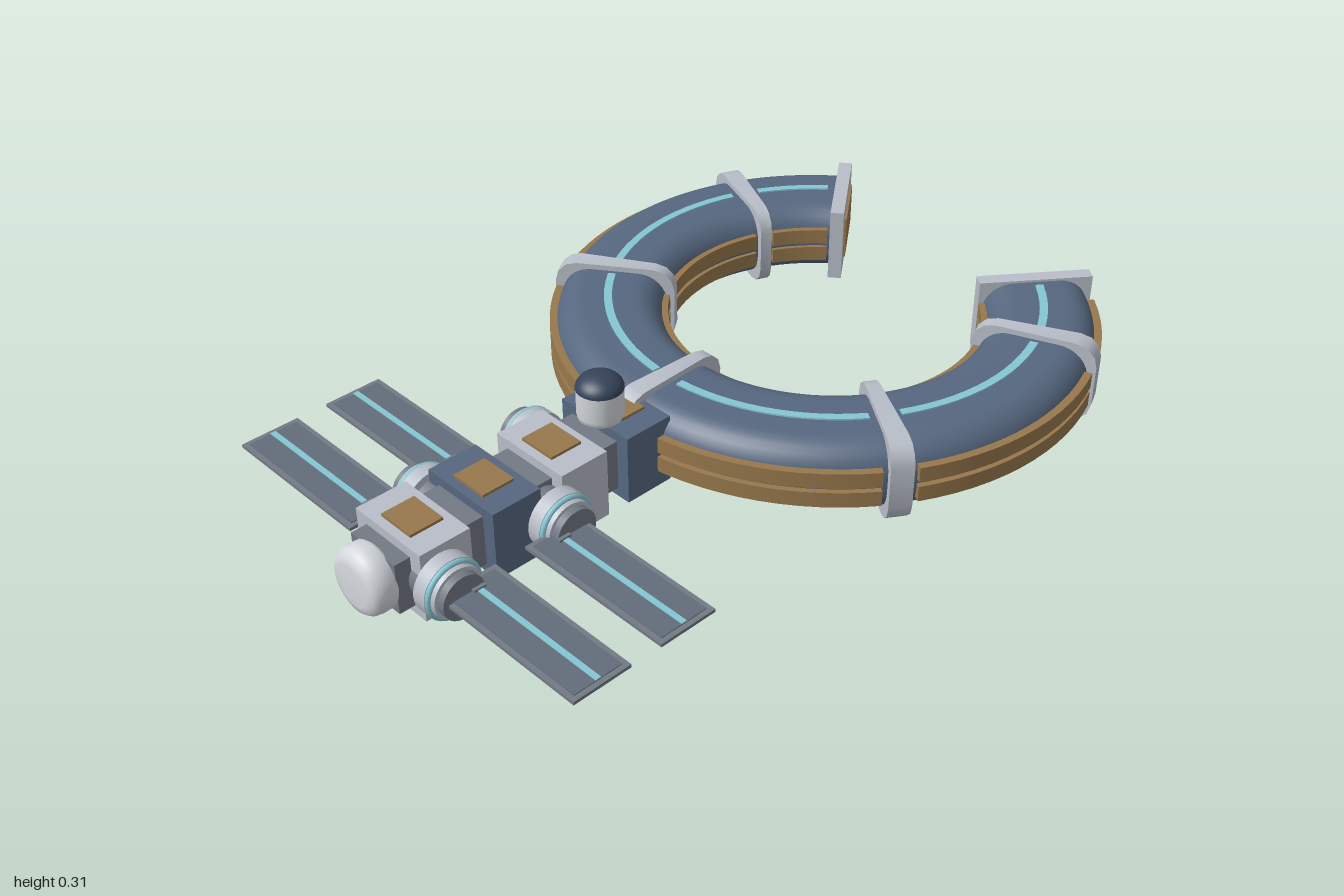
import * as THREE from 'three';
import { mergeGeometries, toCreasedNormals } from 'three/addons/utils/BufferGeometryUtils.js';

const mat = (color) => new THREE.MeshStandardMaterial({ color, side: THREE.DoubleSide });
const RAD = Math.PI / 180;
const CY = 0.108;            // height of the station's mid plane
const RING_X = 0.435, R = 0.535, HALF_ARC = 142.5;

// Rounded rectangle as a counter-clockwise point list, centred on (cx, CY + cy)
function roundedProfile(cx, cy, hw, hh, r, steps) {
  const pts = [];
  const corners = [[1, -1, -90], [1, 1, 0], [-1, 1, 90], [-1, -1, 180]];
  for (const [sx, sy, start] of corners) {
    for (let i = 0; i <= steps; i++) {
      const a = (start + (90 * i) / steps) * RAD;
      pts.push(new THREE.Vector2(
        cx + sx * (hw - r) + r * Math.cos(a), CY + cy + sy * (hh - r) + r * Math.sin(a)));
    }
  }
  return pts;
}

const rectProfile = (cx, cy, hw, hh) =>
  [[1, -1], [1, 1], [-1, 1], [-1, -1]].map(([x, y]) => new THREE.Vector2(cx + x * hw, CY + cy + y * hh));

// Sweeps a profile around the ring from angle u0 to u1 (0 = towards the modules), with end caps
function arcGeometry(profile, u0, u1, segs) {
  const p0 = (u0 - 90) * RAD, p1 = (u1 - 90) * RAD;
  const lathe = new THREE.LatheGeometry([...profile, profile[0].clone()], segs, p0, p1 - p0);
  const caps = [p0, p1].map((p) =>
    new THREE.ShapeGeometry(new THREE.Shape(profile)).rotateY(p - Math.PI / 2).toNonIndexed());
  return mergeGeometries([toCreasedNormals(lathe, 0.6), ...caps]);
}

export function createModel() {
  const model = new THREE.Group();
  const hull = mat(0x56677f), light = mat(0xb8bec8), brown = mat(0x97784c), cyan = mat(0x86c5d3);
  const grey = mat(0x737a85), cell = mat(0x626c7a), dark = mat(0x36435a), white = mat(0xd6dae0);

  const add = (parent, name, geometry, material, x = 0, y = 0, z = 0) => {
    const mesh = new THREE.Mesh(geometry, material);
    mesh.name = name;
    mesh.position.set(x, y, z);
    parent.add(mesh);
    return mesh;
  };
  const box = (parent, name, w, h, d, material, x, y, z) =>
    add(parent, name, new THREE.BoxGeometry(w, h, d), material, x, y, z);

  // Open habitat ring
  const ring = new THREE.Group();
  ring.name = 'habitatRing';
  ring.position.x = RING_X;
  model.add(ring);
  add(ring, 'ringHull', arcGeometry(roundedProfile(R, 0, 0.135, 0.094, 0.075, 8), -HALF_ARC, HALF_ARC, 96), hull);

  // Ribs around the tube
  const ribs = [-114, -57, 0, 57, 114];
  const ribProfile = roundedProfile(R, 0, 0.154, 0.108, 0.055, 3);
  for (const u of ribs) add(ring, 'ringRib', arcGeometry(ribProfile, u - 2.3, u + 2.3, 2), light);

  // Window bands and light strip between neighbouring ribs
  const stops = [-HALF_ARC, ...ribs, HALF_ARC];
  for (let i = 0; i < stops.length - 1; i++) {
    const a = stops[i] + 3.5, b = stops[i + 1] - 3.5;
    const segs = Math.round((b - a) / 4);
    for (const y of [-0.026, 0.026]) {
      add(ring, 'outerWindowBand', arcGeometry(rectProfile(0.67, y, 0.014, 0.02), a, b, segs), brown);
      add(ring, 'innerWindowBand', arcGeometry(rectProfile(0.402, y, 0.012, 0.02), a, b, segs), brown);
    }
    add(ring, 'lightStrip', arcGeometry(rectProfile(R + 0.003, 0.093, 0.01, 0.005), a + 0.5, b - 0.5, segs), cyan);
  }

  // End bulkheads with hatch panels
  for (const s of [1, -1]) {
    const cap = new THREE.Group();
    cap.name = s > 0 ? 'leftBulkhead' : 'rightBulkhead';
    const a = (180 - HALF_ARC) * RAD * s;
    cap.position.set(R * Math.cos(a), CY, R * Math.sin(a));
    cap.rotation.y = -a;
    box(cap, 'bulkheadPlate', 0.29, 0.2, 0.036, light, 0, 0, 0);
    box(cap, 'bulkheadHatch', 0.2, 0.115, 0.012, brown, 0, 0, -s * 0.018);
    ring.add(cap);
  }

  // Chain of box modules joined by narrower connectors
  [-0.835, -0.645, -0.455, -0.265].forEach((x, i) => {
    box(model, 'module', 0.13, 0.176, 0.22, i % 2 ? hull : light, x, CY, 0);
    box(model, 'roofHatch', 0.085, 0.012, 0.1, brown, x, CY + 0.089, 0);
  });
  box(model, 'connectorSpine', 0.66, 0.13, 0.15, grey, -0.61, CY, 0);

  // Rounded end tank
  const tankProfile = [[0, -0.035], [0.07, -0.035], [0.08, -0.025], [0.081, 0], [0.078, 0.018],
    [0.068, 0.03], [0.05, 0.034], [0, 0.035]].map(([x, y]) => new THREE.Vector2(x, y));
  const tank = add(model, 'endTank', new THREE.LatheGeometry(tankProfile, 32), white, -0.965, CY, 0);
  tank.rotation.z = Math.PI / 2;

  // Observation turret
  const turretProfile = [[0, 0], [0.044, 0], [0.053, 0.008], [0.055, 0.02], [0.055, 0.085], [0, 0.085]]
    .map(([x, y]) => new THREE.Vector2(x, y));
  add(model, 'turretBase', toCreasedNormals(new THREE.LatheGeometry(turretProfile, 32), 0.8), white, -0.31, 0.19, 0);
  const dome = add(model, 'turretDome',
    new THREE.SphereGeometry(0.056, 32, 10, 0, Math.PI * 2, 0, Math.PI / 2), dark, -0.31, 0.274, 0);
  dome.scale.y = 0.65;

  // Docking ports, alternating between front and back
  [-0.855, -0.703, -0.55, -0.4].forEach((x, i) => {
    const port = new THREE.Group();
    port.name = 'dockingPort';
    port.position.set(x, CY, 0);
    port.rotation.x = (i % 2 ? -1 : 1) * Math.PI / 2;
    add(port, 'portNeck', new THREE.CylinderGeometry(0.055, 0.055, 0.1, 32), grey, 0, 0.085, 0);
    add(port, 'portCollar', new THREE.CylinderGeometry(0.073, 0.073, 0.036, 32), light, 0, 0.132, 0);
    const glow = add(port, 'portLightRing', new THREE.TorusGeometry(0.066, 0.007, 8, 40), cyan, 0, 0.154, 0);
    glow.rotation.x = Math.PI / 2;
    add(port, 'portRim', new THREE.CylinderGeometry(0.062, 0.066, 0.022, 32), light, 0, 0.16, 0);
    add(port, 'portHatch', new THREE.CylinderGeometry(0.054, 0.054, 0.04, 32), grey, 0, 0.17, 0);
    model.add(port);
  });

  // Solar wings, a pair on each side
  for (const x of [-0.82, -0.59]) {
    for (const s of [1, -1]) {
      const wing = new THREE.Group();
      wing.name = 'solarWing';
      wing.position.set(x, CY, s * 0.364);
      box(wing, 'wingFrame', 0.15, 0.008, 0.42, grey, 0, 0, 0);
      box(wing, 'wingCells', 0.125, 0.004, 0.395, cell, 0, 0.004, 0);
      box(wing, 'wingStripe', 0.014, 0.004, 0.395, cyan, 0, 0.006, 0);
      box(wing, 'wingArm', 0.032, 0.024, 0.13, grey, 0, 0, -s * 0.23);
      model.add(wing);
    }
  }
  return model;
}
